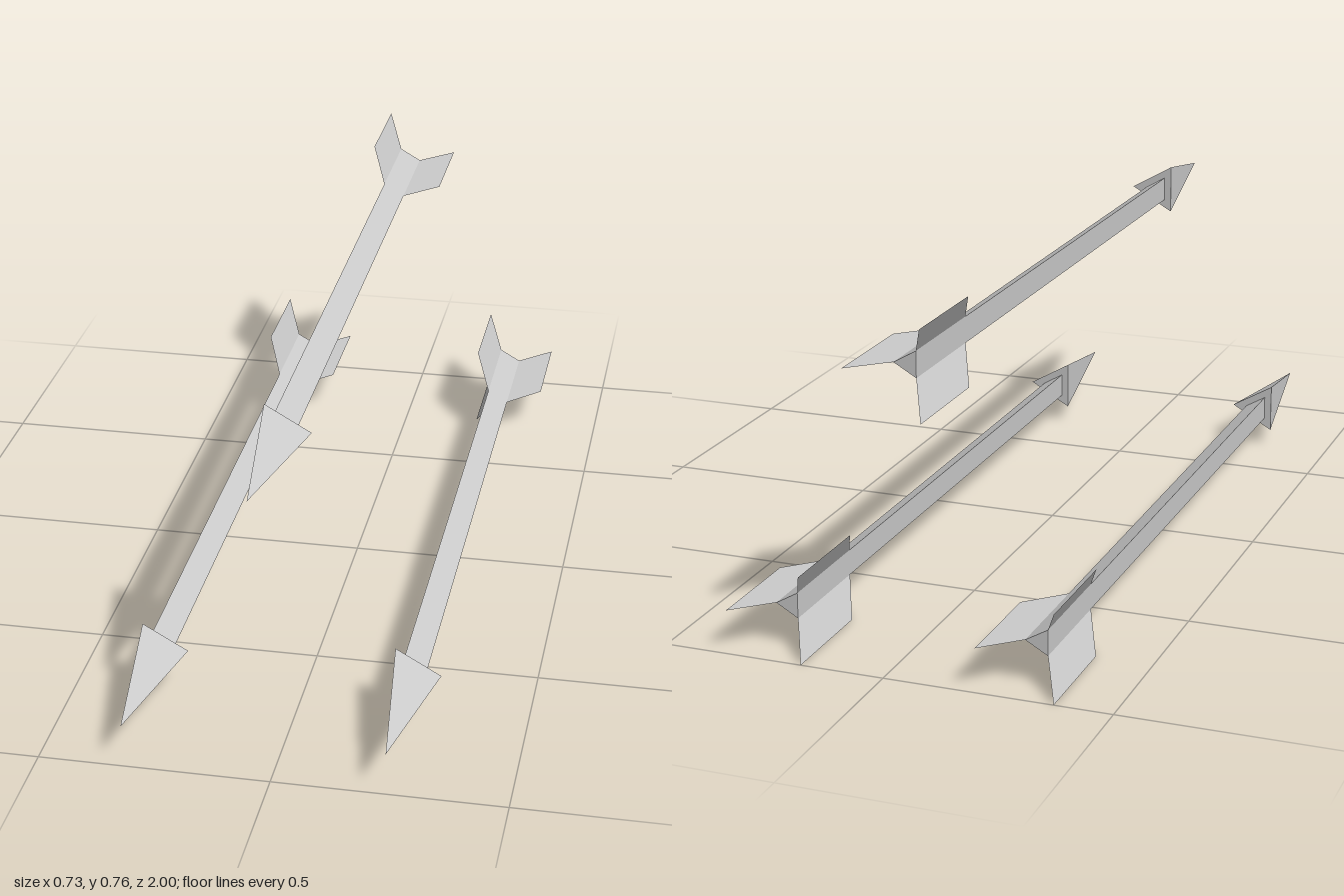
import * as THREE from 'three';

const SHAFT_R = 0.033, HEAD_R = 0.067, FIN_R = 0.113;
const TIP_Z = 1, HEAD_Z = 0.685, TAIL_Z = -0.925;

const material = new THREE.MeshStandardMaterial({ color: 0xcccccc, flatShading: true });
const finMaterial = new THREE.MeshStandardMaterial({ color: 0xcccccc, flatShading: true, side: THREE.DoubleSide });

// Three-sided prism or pyramid along z, with one corner towards +x
function threeSided(frontR, backR, z0, z1) {
  const g = new THREE.CylinderGeometry(frontR, backR, z1 - z0, 3, 1, false, Math.PI / 2);
  return g.rotateX(Math.PI / 2).translate(0, 0, (z0 + z1) / 2);
}

// Swept flat vane: drawn as (radius, z), then laid into the xz plane
function finGeometry() {
  const outline = [[SHAFT_R, -0.665], [FIN_R, -0.745], [FIN_R, -1], [SHAFT_R, TAIL_Z]];
  const shape = new THREE.Shape(outline.map(([r, z]) => new THREE.Vector2(r, z)));
  return new THREE.ShapeGeometry(shape).rotateX(Math.PI / 2);
}

function addMesh(group, name, geometry, mat) {
  const mesh = new THREE.Mesh(geometry, mat);
  mesh.name = name;
  group.add(mesh);
  return mesh;
}

export function createModel() {
  const model = new THREE.Group();
  model.name = 'arrows';

  const shaft = threeSided(SHAFT_R, SHAFT_R, TAIL_Z, HEAD_Z);
  const head = threeSided(0, HEAD_R, HEAD_Z, TIP_Z);
  const fin = finGeometry();

  // Two arrows below, one above
  const places = [['rightArrow', -0.317, 0.1], ['leftArrow', 0.243, 0.1], ['topArrow', -0.037, 0.66]];
  for (const [name, x, y] of places) {
    const arrow = new THREE.Group();
    arrow.name = name;
    arrow.position.set(x, y, 0);
    addMesh(arrow, 'shaft', shaft, material);
    addMesh(arrow, 'arrowhead', head, material);
    // One vane on each corner of the shaft
    for (let i = 0; i < 3; i++) {
      addMesh(arrow, 'fletching' + (i + 1), fin, finMaterial).rotation.z = (i * 2 * Math.PI) / 3;
    }
    model.add(arrow);
  }
  return model;
}
